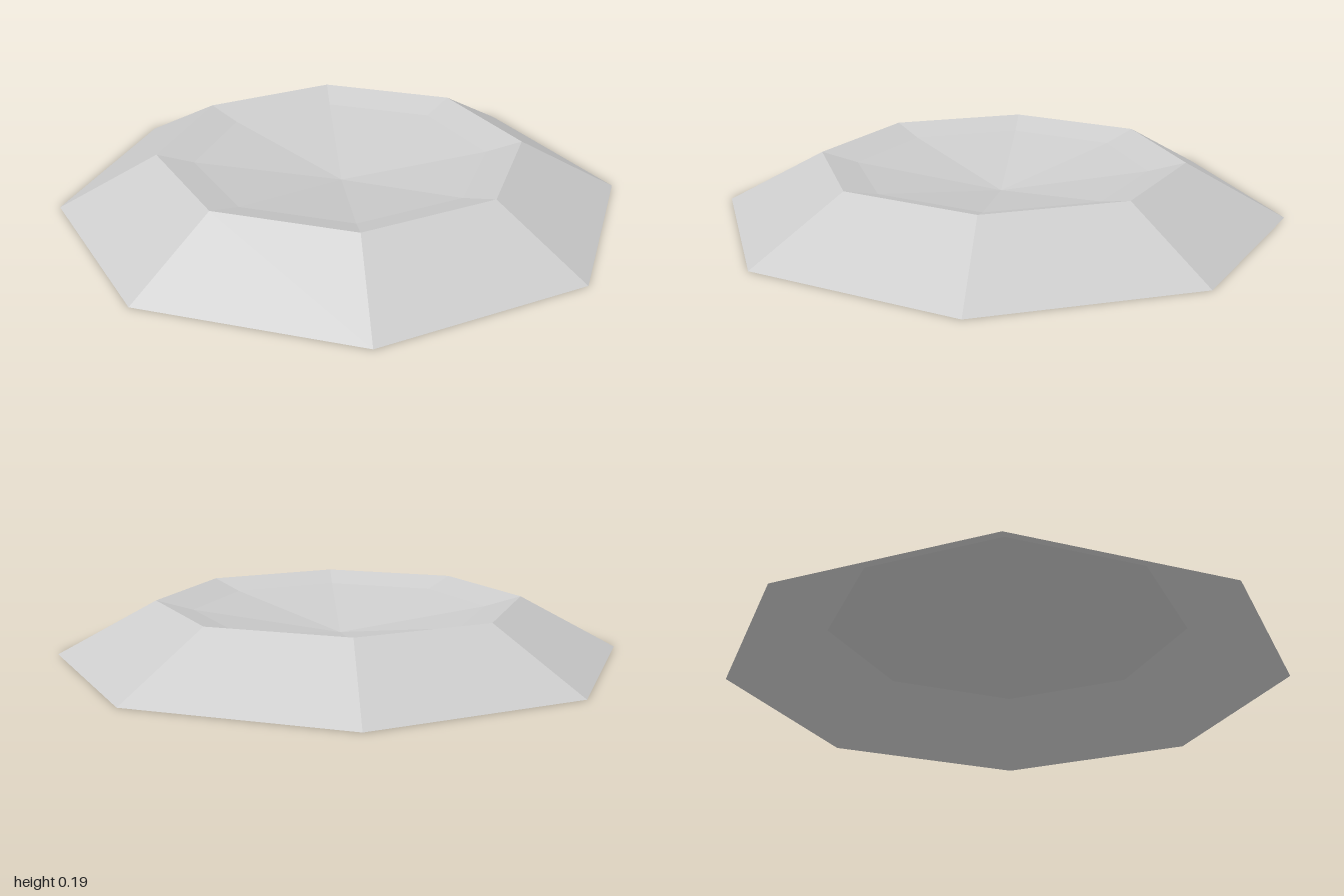
import * as THREE from 'three';

// Low-poly octagonal mound: an open sloping skirt with a shallow faceted dish on top.
export function createModel() {
  const model = new THREE.Group();
  model.name = 'octagonalDish';

  const paleGrey = new THREE.MeshStandardMaterial({
    color: 0xcccccc,
    flatShading: true,
    side: THREE.DoubleSide,
  });
  paleGrey.name = 'paleGrey';

  // Revolve a profile of [radius, height] points into eight flat sides
  function addRing(name, profile) {
    const points = profile.map(([r, y]) => new THREE.Vector2(r, y));
    const mesh = new THREE.Mesh(new THREE.LatheGeometry(points, 8), paleGrey);
    mesh.name = name;
    model.add(mesh);
  }

  // Outer slope, open underneath
  addRing('outerSlope', [[1, 0], [0.65, 0.19]]);
  // Sunken dish: steeper lip, then a shallow cone down to the centre
  addRing('dishLip', [[0.65, 0.19], [0.52, 0.155]]);
  addRing('dishFloor', [[0.52, 0.155], [0, 0.067]]);

  return model;
}
